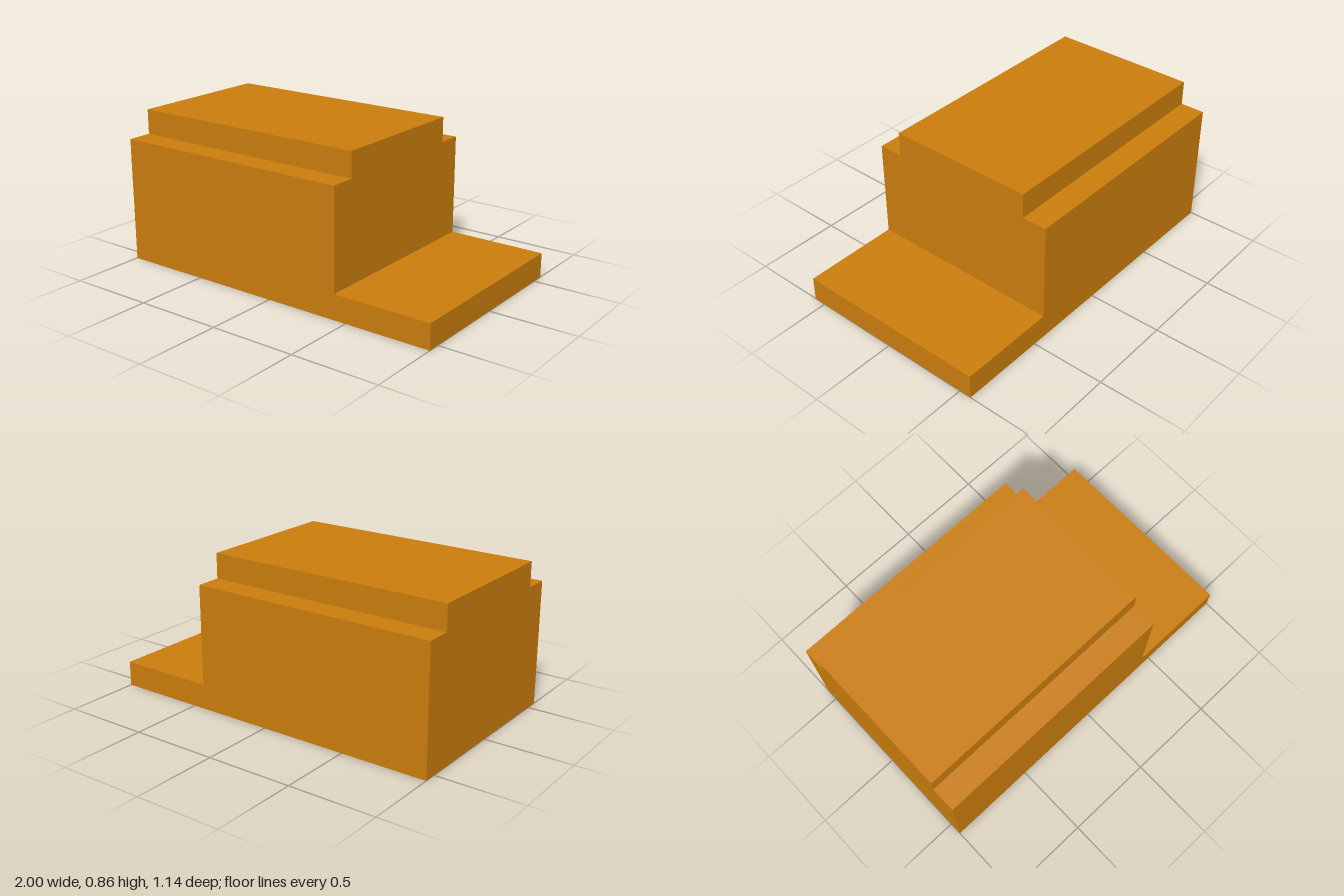
import * as THREE from 'three';

const U = 1 / 7; // the block is laid out on a grid of sevenths

export function createModel() {
  const model = new THREE.Group();
  model.name = 'steppedBlock';
  const amber = new THREE.MeshStandardMaterial({ color: 0xca7d0d });
  amber.name = 'amber';

  // Tall body: stepped cross-section swept along x
  const half = [[4, 0], [4, 5], [3, 5], [3, 6]];
  const mirrored = half.map(([z, y]) => [-z, y]).reverse();
  const section = new THREE.Shape(
    [...half, ...mirrored].map(([z, y]) => new THREE.Vector2(z * U, y * U))
  );
  const bodyGeometry = new THREE.ExtrudeGeometry(section, { depth: 10 * U, bevelEnabled: false });
  bodyGeometry.rotateY(Math.PI / 2);
  const body = new THREE.Mesh(bodyGeometry, amber);
  body.name = 'body';
  body.position.x = -1;
  model.add(body);

  // Low ledge continuing the base on the left end
  const ledge = new THREE.Mesh(new THREE.BoxGeometry(4 * U, U, 8 * U), amber);
  ledge.name = 'ledge';
  ledge.position.set(5 * U, U / 2, 0);
  model.add(ledge);

  return model;
}
